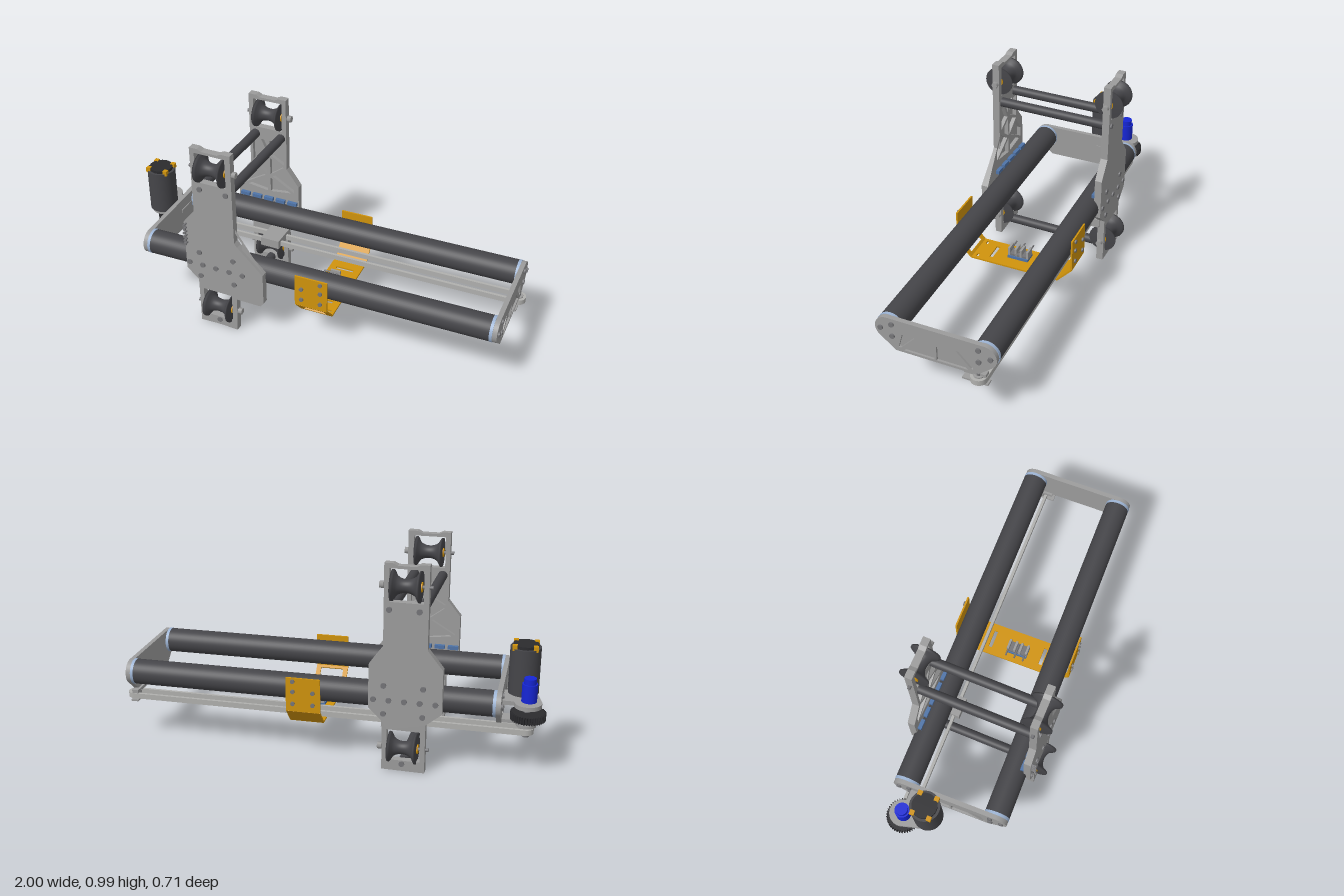
import * as THREE from 'three';

const mat = (name, color, side = THREE.FrontSide) => {
  const m = new THREE.MeshStandardMaterial({ color, side });
  m.name = name;
  return m;
};

export function createModel() {
  const grey = mat('aluminium', 0x9c9c9c), dark = mat('dark tube', 0x454549),
    black = mat('black gear', 0x2b2b2e), gold = mat('gold bracket', 0xd0930c),
    blue = mat('blue encoder', 0x1626d6), pale = mat('pale blue cap', 0x9db4d4),
    steel = mat('steel blue', 0x4f74a8), bolt = mat('bolt grey', 0x757578),
    belting = mat('belt grey', 0xb0b0ae);

  const model = new THREE.Group();
  const group = (name, parent = model) => {
    const g = new THREE.Group();
    g.name = name;
    parent.add(g);
    return g;
  };
  const add = (parent, name, geo, m, x = 0, y = 0, z = 0) => {
    const mesh = new THREE.Mesh(geo, m);
    mesh.name = name;
    mesh.position.set(x, y, z);
    parent.add(mesh);
    return mesh;
  };
  const cyl = (parent, name, axis, r, len, m, x, y, z, seg = 32) => {
    const geo = new THREE.CylinderGeometry(r, r, len, seg);
    if (axis === 'x') geo.rotateZ(Math.PI / 2);
    if (axis === 'z') geo.rotateX(Math.PI / 2);
    return add(parent, name, geo, m, x, y, z);
  };
  const box = (parent, name, w, h, d, m, x, y, z) =>
    add(parent, name, new THREE.BoxGeometry(w, h, d), m, x, y, z);
  const poly = pts => new THREE.Shape(pts.map(p => new THREE.Vector2(...p)));
  const rect = (x0, y0, x1, y1) => [[x0, y0], [x1, y0], [x1, y1], [x0, y1]];
  const extrude = (shape, depth, holes = []) => {
    shape.holes.push(...holes);
    return new THREE.ExtrudeGeometry(shape, { depth, bevelEnabled: false, curveSegments: 20 });
  };
  // Outline wrapped round two equal circles
  const capsule = (ax, ay, bx, by, r) => {
    const a = Math.atan2(by - ay, bx - ax), s = new THREE.Shape();
    s.absarc(bx, by, r, a - Math.PI / 2, a + Math.PI / 2, false);
    s.absarc(ax, ay, r, a + Math.PI / 2, a + Math.PI * 1.5, false);
    s.closePath();
    return s;
  };
  const flat = geo => geo.rotateX(Math.PI / 2); // outline in x,z; depth goes down

  // ---- Skewed beam: tubes, end plates, belt, drive, bracket
  const beam = group('beam');
  beam.rotation.y = 0.0245;
  beam.position.z = -0.014;
  for (const s of [1, -1]) {
    cyl(beam, 'beamTube', 'x', 0.06, 1.71, dark, 0.09, 0.345, s * 0.225, 48);
    for (const x of [-0.772, 0.944]) cyl(beam, 'tubeCap', 'x', 0.061, 0.014, pale, x, 0.345, s * 0.225, 48);
  }

  const endOutline = () => {
    const s = new THREE.Shape();
    s.moveTo(-0.19, 0.238);
    s.lineTo(0.19, 0.238);
    s.lineTo(0.265, 0.302);
    s.absarc(0.225, 0.345, 0.059, -0.8, Math.PI / 2, false);
    s.absarc(-0.225, 0.345, 0.059, Math.PI / 2, Math.PI + 0.8, false);
    s.closePath();
    return s;
  };
  const endPockets = () => [1, -1].flatMap(s => [
    [[0.005, 0.325], [0.075, 0.325], [0.15, 0.25], [0.005, 0.25]],
    [[0.095, 0.335], [0.155, 0.335], [0.175, 0.262], [0.165, 0.26]],
  ].map(p => poly(p.map(([z, y]) => [s * z, y]))));
  for (const [x, dir] of [[-0.779, -1], [0.951, 1]]) {
    const end = group('endPlate', beam);
    const web = extrude(endOutline(), 0.012).rotateY(-Math.PI / 2);
    const ribs = extrude(endOutline(), 0.01, endPockets()).rotateY(-Math.PI / 2);
    add(end, 'endWeb', web, grey, x + (dir > 0 ? 0.012 : 0));
    add(end, 'endRibs', ribs, grey, x + (dir > 0 ? 0.022 : -0.012));
    for (const s of [1, -1]) for (let i = 0; i < 3; i++) {
      const a = Math.PI * (0.5 + i * 2 / 3);
      cyl(end, 'endBolt', 'x', 0.012, 0.01, bolt, x + dir * 0.025,
        0.345 + 0.036 * Math.cos(a), s * (0.22 + 0.036 * Math.sin(a)), 16);
    }
  }

  // Belt loop and idler
  add(beam, 'belt', flat(extrude(capsule(-0.91, -0.195, 0.962, -0.195, 0.038), 0.026,
    [capsule(-0.91, -0.195, 0.962, -0.195, 0.024)])), belting, 0, 0.23);
  cyl(beam, 'idlerWheel', 'y', 0.024, 0.036, grey, 0.962, 0.217, -0.195);
  cyl(beam, 'idlerBolt', 'y', 0.012, 0.06, bolt, 0.962, 0.216, -0.195, 16);
  box(beam, 'idlerArm', 0.03, 0.016, 0.1, grey, 0.955, 0.238, -0.18);
  box(beam, 'idlerFoot', 0.035, 0.008, 0.12, grey, 0.955, 0.196, -0.18);

  // Motor, gear train and encoder
  const drive = group('drive', beam);
  add(drive, 'motorMount', flat(extrude(capsule(-0.885, -0.075, -0.915, -0.19, 0.062), 0.02)), grey, 0, 0.35);
  add(drive, 'lowerMount', flat(extrude(capsule(-0.885, -0.085, -0.912, -0.195, 0.045), 0.016)), grey, 0, 0.255);
  box(drive, 'mountArm', 0.12, 0.02, 0.13, grey, -0.835, 0.34, -0.13);
  box(drive, 'lowerArm', 0.11, 0.016, 0.07, grey, -0.835, 0.247, -0.15);
  cyl(drive, 'motorBody', 'y', 0.07, 0.222, dark, -0.885, 0.461, -0.072, 40);
  cyl(drive, 'motorTop', 'y', 0.058, 0.016, black, -0.885, 0.578, -0.072);
  for (const s of [1, -1]) for (const t of [1, -1])
    box(drive, 'motorTab', 0.022, 0.026, 0.022, gold, -0.885 + s * 0.047, 0.576, -0.072 + t * 0.04);
  cyl(drive, 'pinion', 'y', 0.035, 0.04, black, -0.885, 0.295, -0.072, 20);
  const gear = new THREE.Shape(), teeth = 40;
  for (let i = 0; i < teeth * 4; i++) {
    const a = (i / (teeth * 4)) * Math.PI * 2, r = i % 4 < 2 ? 0.08 : 0.072;
    gear[i ? 'lineTo' : 'moveTo'](r * Math.cos(a), r * Math.sin(a));
  }
  add(drive, 'driveGear', flat(extrude(gear, 0.035)), black, -0.918, 0.305, -0.19);
  cyl(drive, 'driveShaft', 'y', 0.016, 0.22, bolt, -0.912, 0.295, -0.192, 20);
  cyl(drive, 'drivePulley', 'y', 0.024, 0.045, grey, -0.91, 0.22, -0.195);
  cyl(drive, 'encoderBody', 'y', 0.035, 0.085, blue, -0.918, 0.395, -0.182);
  cyl(drive, 'encoderCap', 'y', 0.028, 0.03, blue, -0.918, 0.449, -0.182);

  // Folded sheet bracket under the tubes
  const bracket = group('bracket', beam);
  const path = [[0.295, 0.41], [0.295, 0.248], [0.225, 0.172], [-0.225, 0.172], [-0.295, 0.248], [-0.295, 0.41]];
  const cutouts = [[], [rect(-0.058, -0.036, 0.058, 0.036)],
    [0.135, -0.135].map(y => rect(-0.045, y - 0.009, 0.045, y + 0.009))
      .concat([-0.055, 0.055].flatMap(x => [-0.2, 0.2].map(y => rect(x - 0.012, y - 0.006, x + 0.012, y + 0.006)))),
    [], []];
  for (let i = 0; i < 5; i++) {
    const [z0, y0] = path[i], [z1, y1] = path[i + 1];
    const half = Math.hypot(z1 - z0, y1 - y0) / 2 + 0.002;
    const geo = extrude(poly(rect(-0.081, -half, 0.081, half)), 0.008, cutouts[i].map(poly));
    geo.translate(0, 0, -0.004);
    add(bracket, 'bracketPanel', geo, gold, 0.097, (y0 + y1) / 2, (z0 + z1) / 2)
      .rotation.x = Math.atan2(z1 - z0, y1 - y0);
  }
  for (const s of [1, -1]) for (const x of [0.05, 0.145]) for (const y of [0.285, 0.345, 0.395])
    if (y !== 0.395 || x > 0.1) cyl(bracket, 'bracketBolt', 'z', 0.01, 0.012, bolt, x, y, s * 0.301, 16);

  // Cable holder on the bracket floor
  const holder = group('cableHolder', bracket);
  box(holder, 'holderBase', 0.06, 0.014, 0.105, steel, 0.085, 0.183, 0.006);
  for (const z of [-0.042, -0.008, 0.02, 0.054]) box(holder, 'holderFin', 0.05, 0.042, 0.011, grey, 0.085, 0.209, z);
  box(holder, 'holderBridge', 0.05, 0.012, 0.1, bolt, 0.085, 0.195, 0.006);
  for (const z of [-0.04, 0.005, 0.05]) cyl(holder, 'holderPin', 'x', 0.004, 0.08, bolt, 0.065, 0.215, z, 8);

  // ---- Carriage: two ribbed plates, rollers and cross rods
  const carriage = group('carriage');
  const CX = -0.38;
  const frontPts = [[-0.48, 0], [-0.4, 0.004], [-0.36, 0.004], [-0.28, 0], [-0.275, 0.19], [-0.15, 0.19],
    [-0.132, 0.21], [-0.132, 0.375], [-0.26, 0.5], [-0.275, 0.52], [-0.275, 0.985], [-0.32, 0.985],
    [-0.34, 0.975], [-0.42, 0.975], [-0.44, 0.985], [-0.48, 0.985], [-0.48, 0.645], [-0.54, 0.57],
    [-0.54, 0.305], [-0.48, 0.25]];
  const backPts = [[-0.48, 0], [-0.28, 0], [-0.28, 0.24], [-0.215, 0.3], [-0.215, 0.51], [-0.28, 0.6],
    [-0.28, 0.985], [-0.32, 0.985], [-0.34, 0.975], [-0.42, 0.975], [-0.44, 0.985], [-0.48, 0.985],
    [-0.48, 0.6], [-0.552, 0.51], [-0.552, 0.3], [-0.48, 0.24]];
  const windows = () => [rect(-0.457, 0.81, -0.303, 0.962), rect(-0.457, 0.052, -0.303, 0.202)].map(poly);
  // Triangular pockets left and right of the centre line
  const pockets = () => [1, -1].flatMap(s => [
    [[0.008, 0.745], [0.04, 0.745], [0.008, 0.68]],
    [[0.052, 0.735], [0.085, 0.735], [0.085, 0.62], [0.014, 0.66]],
    [[0.008, 0.645], [0.082, 0.605], [0.008, 0.55]],
    [[0.088, 0.59], [0.138, 0.52], [0.138, 0.47], [0.02, 0.54]],
    [[0.008, 0.53], [0.12, 0.465], [0.008, 0.45]],
    [[0.02, 0.24], [0.082, 0.24], [0.06, 0.265], [0.02, 0.265]],
  ].map(p => poly(p.map(([x, y]) => [CX + s * x, y]))));

  for (const [s, pts, label] of [[1, frontPts, 'front'], [-1, backPts, 'back']]) {
    const side = group(label + 'Plate', carriage);
    add(side, label + 'Web', extrude(poly(pts), 0.015, windows()), grey, 0, 0, s > 0 ? 0.29 : -0.305);
    add(side, label + 'Ribs', extrude(poly(pts), 0.02, [...windows(), ...pockets()]), grey, 0, 0, s > 0 ? 0.27 : -0.29);
    const spots = [-2, -1, 0, 1, 2].map(i => [CX + i * 0.071, 0.345]);
    for (const x of [-0.465, -0.285]) spots.push([x, 0.415], [x, 0.278]);
    for (const x of [-0.44, -0.305]) spots.push([x, 0.775]);
    spots.push([-0.375, 0.036]);
    for (const [x, y] of spots) cyl(side, 'plateBolt', 'z', 0.013, 0.01, bolt, x, y, s * 0.307, 20);
    for (let i = 0; i < 5; i++) box(side, 'clampPad', 0.05, 0.018, 0.02, steel, CX + (i - 2) * 0.066, 0.41, s * 0.262);

    // Concave rollers on short axles
    for (const y of [0.11, 0.882]) {
      const roller = group('roller', side);
      const profile = [[0, -0.066], [0.07, -0.066], [0.07, -0.058]];
      for (let i = 0; i <= 12; i++) {
        const t = -0.052 + (i / 12) * 0.104;
        profile.push([0.03 + 0.036 * (1 - Math.sqrt(1 - (t / 0.0525) ** 2)), t]);
      }
      profile.push([0.07, 0.058], [0.07, 0.066], [0, 0.066]);
      const geo = new THREE.LatheGeometry(profile.map(p => new THREE.Vector2(...p)), 40).rotateZ(Math.PI / 2);
      const spool = add(roller, 'spool', geo, dark, CX + 0.004, y, s * 0.287);
      spool.material = dark;
      cyl(roller, 'rollerHub', 'x', 0.022, 0.142, gold, CX + 0.004, y, s * 0.287, 20);
      cyl(roller, 'axle', 'x', 0.008, 0.23, bolt, CX, y, s * 0.287, 16);
      cyl(roller, 'axleNut', 'x', 0.016, 0.02, grey, -0.267, y, s * 0.287, 6);
    }
  }

  // Row of pins on the front plate edge
  for (let i = 0; i < 6; i++) {
    cyl(carriage, 'edgePin', 'z', 0.005, 0.03, bolt, -0.528, 0.457 + i * 0.021, 0.311, 10);
    cyl(carriage, 'edgePinHead', 'z', 0.008, 0.006, bolt, -0.528, 0.457 + i * 0.021, 0.325, 10);
  }
  // Belt clamp and cross rods
  box(carriage, 'beltClamp', 0.1, 0.045, 0.14, grey, -0.32, 0.222, -0.21);
  for (const [x, y] of [[-0.447, 0.773], [-0.309, 0.773], [-0.378, 0.037]])
    cyl(carriage, 'crossRod', 'z', 0.023, 0.545, dark, x, y, 0, 28);

  return model;
}
